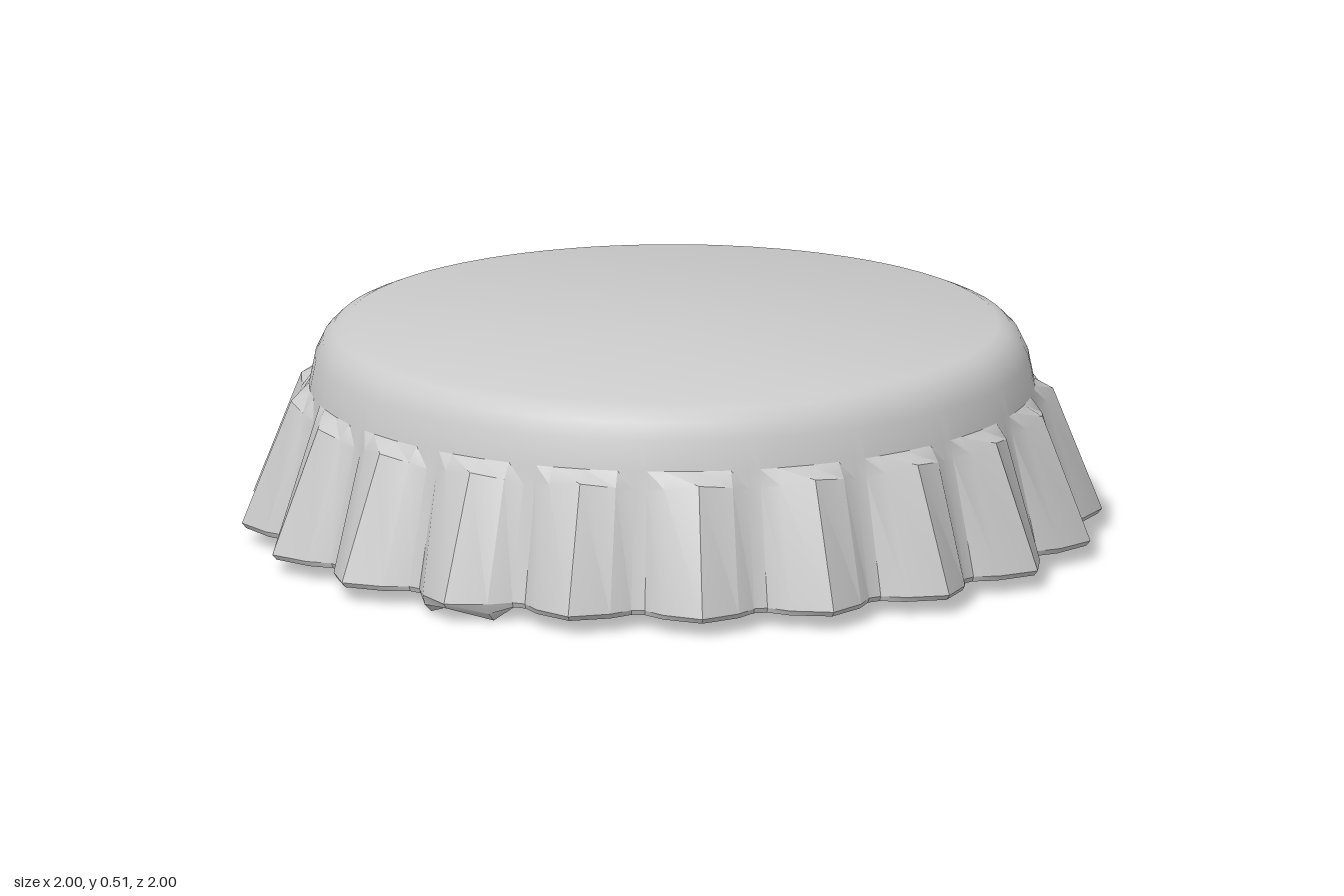
import * as THREE from 'three';
import { toCreasedNormals } from 'three/addons/utils/BufferGeometryUtils.js';

const FLUTES = 20;
const STEP = 360 / FLUTES;
// One flute: angle from its ridge in degrees, and how far it stands out (1 ridge, 0 valley)
const FLUTE = [[0, 1], [5.3, 0.5], [8, 0.03], [10, 0.03], [12.7, 0.5]];

// Rows from the top centre, down the outside, round the lip and up the inside:
// [valley radius, height, flute depth, drop of the flute sides, bent lip drop]
const ROWS = [
  [0, 0.507, 0, 0, 0],
  [0.757, 0.505, 0, 0, 0],
  [0.785, 0.493, 0, 0, 0],
  [0.81, 0.468, 0, 0, 0],
  [0.828, 0.43, 0, 0, 0],
  [0.842, 0.36, 0, 0, 0],
  [0.85, 0.335, 0.036, 0.02, 0],
  [0.91, 0.045, 0.09, 0, 0],
  [0.905, 0.033, 0.085, 0, 0.012],
  [0.88, 0.033, 0.083, 0, 0.033],
  [0.82, 0.325, 0.034, 0.02, 0],
  [0.812, 0.35, 0, 0, 0],
  [0.798, 0.42, 0, 0, 0],
  [0.77, 0.46, 0, 0, 0],
  [0.735, 0.475, 0, 0, 0],
  [0, 0.475, 0, 0, 0],
];

function capGeometry() {
  const n = FLUTES * FLUTE.length;
  const positions = [];
  const index = [];
  for (const [radius, height, depth, sideDrop, bend] of ROWS) {
    for (let f = 0; f < FLUTES; f++) {
      for (const [offset, out] of FLUTE) {
        const degrees = f * STEP + offset;
        const a = THREE.MathUtils.degToRad(degrees);
        const r = radius + depth * out;
        // The lip is bent down on both sides of a single flute
        const bent = Math.abs(Math.abs(degrees - 162) - 5.3) < 0.1 ? bend : 0;
        const y = height - sideDrop * (1 - out) - bent;
        positions.push(r * Math.cos(a), y, r * Math.sin(a));
      }
    }
  }
  for (let i = 0; i < ROWS.length - 1; i++) {
    for (let j = 0; j < n; j++) {
      const a = i * n + j;
      const b = i * n + (j + 1) % n;
      if (ROWS[i][0] > 0) index.push(a, b, a + n);
      if (ROWS[i + 1][0] > 0) index.push(b, b + n, a + n);
    }
  }
  const geometry = new THREE.BufferGeometry();
  geometry.setAttribute('position', new THREE.Float32BufferAttribute(positions, 3));
  geometry.setIndex(index);
  return toCreasedNormals(geometry, 0.42);
}

export function createModel() {
  const group = new THREE.Group();
  group.name = 'bottleCap';
  const metal = new THREE.MeshStandardMaterial({ color: 0xcccccc });
  const shell = new THREE.Mesh(capGeometry(), metal);
  shell.name = 'flutedCapShell';
  group.add(shell);
  return group;
}
